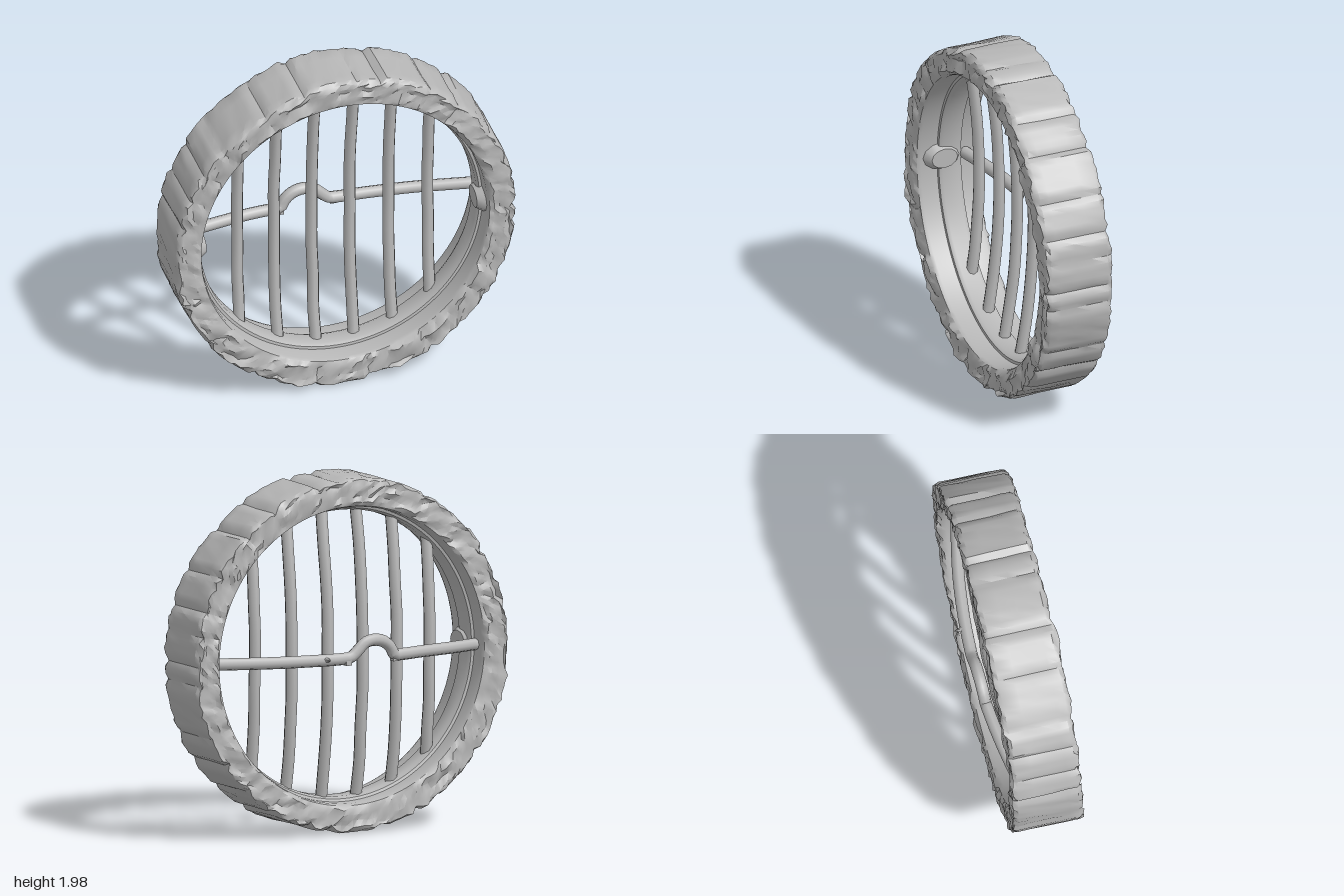
import * as THREE from 'three';
import { toCreasedNormals } from 'three/addons/utils/BufferGeometryUtils.js';

const CENTER_Y = 1;

function seeded(seed) {
  let s = seed;
  return () => {
    s = (s * 1664525 + 1013904223) % 4294967296;
    return s / 4294967296;
  };
}

// Sweeps a closed section (r, z) round the z axis; section(i) gives the points for step i.
function sweepRing(steps, section, crease) {
  const positions = [], index = [];
  let n = 0;
  for (let i = 0; i < steps; i++) {
    const a = (i / steps) * Math.PI * 2;
    const points = section(i);
    n = points.length;
    for (const [r, z] of points) positions.push(r * Math.cos(a), CENTER_Y + r * Math.sin(a), z);
  }
  for (let i = 0; i < steps; i++) {
    const k = (i + 1) % steps;
    for (let j = 0; j < n; j++) {
      const m = (j + 1) % n;
      index.push(i * n + j, k * n + j, k * n + m, i * n + j, k * n + m, i * n + m);
    }
  }
  const geo = new THREE.BufferGeometry();
  geo.setAttribute('position', new THREE.Float32BufferAttribute(positions, 3));
  geo.setIndex(index);
  return toCreasedNormals(geo, crease);
}

// Rough stone ring: weathered blocks with crumpled front and back faces
function stoneRing() {
  const rand = seeded(11);
  const steps = 176;
  const blocks = [];
  for (let i = 0; i < steps;) {
    const length = Math.min(4 + Math.floor(rand() * 7), steps - i);
    const block = { r: 0.979 + rand() * 0.012, tilt: (rand() - 0.5) * 0.016, front: 0.212 + rand() * 0.018, back: -0.158 - rand() * 0.014 };
    const ramp = (rand() - 0.5) * 0.018;
    for (let k = 0; k < length; k++) blocks.push({ ...block, r: block.r + ramp * (k / length - 0.5), edge: k === 0 });
    i += length;
  }
  const jitter = (amount) => (rand() - 0.5) * 2 * amount;
  // Lumps drift along the ring so that they span several steps
  const lumps = new Array(8).fill(0);
  const faceRadii = [0.95, 0.92, 0.885, 0.855];
  return sweepRing(steps, (i) => {
    const b = blocks[i];
    const groove = b.edge ? 0.017 : 0;
    const points = [];
    const wobble = jitter(0.002);
    for (let k = 0; k < 8; k++) lumps[k] = lumps[k] * 0.5 + jitter(0.011);
    // outer face, back to front
    for (const t of [0, 0.06, 0.3, 0.55, 0.8, 0.94, 1]) {
      const rim = t === 0 || t === 1;
      const z = b.back + (b.front - b.back) * t;
      points.push([b.r + b.tilt * (t - 0.5) - groove + wobble - (rim ? 0.012 : 0) + jitter(rim ? 0.009 : 0.003),
        z + (rim ? jitter(0.009) : 0)]);
    }
    // crumpled front face
    faceRadii.forEach((r, k) => points.push([r + jitter(0.007), b.front - groove * 0.5 + lumps[k]]));
    // smooth inner channel
    points.push([0.832, 0.205], [0.825, 0.185], [0.825, 0.06], [0.825, -0.06], [0.826, -0.13], [0.834, -0.155]);
    // crumpled back face
    faceRadii.slice().reverse().forEach((r, k) => points.push([r + jitter(0.007), b.back + groove * 0.5 + lumps[4 + k]]));
    return points;
  }, 0.7);
}

// Inner ledge the bars are set into
function innerLip() {
  return sweepRing(96, () => [[0.84, -0.06], [0.84, 0.09], [0.81, 0.085], [0.798, 0.065], [0.798, -0.025], [0.81, -0.05]], 0.7);
}

// Tube through points, with softened facets
function createBar(points, radius, sides, segments) {
  const curve = new THREE.CatmullRomCurve3(points, false, 'centripetal');
  return toCreasedNormals(new THREE.TubeGeometry(curve, segments, radius, sides), 0.9);
}

export function createModel() {
  const group = new THREE.Group();
  const stone = new THREE.MeshStandardMaterial({ color: 0xb8b8b8 });
  stone.name = 'grey';
  const add = (name, geometry) => {
    const mesh = new THREE.Mesh(geometry, stone);
    mesh.name = name;
    group.add(mesh);
    return mesh;
  };

  add('stoneRing', stoneRing());
  add('innerLip', innerLip());

  // Six upright bars, bowed backwards into a shallow dome
  const rand = seeded(5);
  for (let i = 0; i < 6; i++) {
    const x = -0.55 + i * 0.22;
    const half = Math.sqrt(0.825 ** 2 - x * x);
    const points = [];
    for (let k = 0; k <= 8; k++) {
      const y = half * (k / 4 - 1);
      points.push(new THREE.Vector3(x + (rand() - 0.5) * 0.006, CENTER_Y + y, -0.08 + 0.12 * (x * x + y * y)));
    }
    add('uprightBar' + (i + 1), createBar(points, 0.034, 8, 24));
  }

  // Cross bar behind the uprights, with a raised handle bend
  const path = [[-0.82, 0.995], [-0.65, 0.993], [-0.45, 0.992], [-0.3, 0.988], [-0.262, 0.99], [-0.235, 1.035], [-0.19, 1.07],
    [-0.13, 1.083], [-0.07, 1.07], [-0.025, 1.03], [0.02, 0.995], [0.07, 0.99], [0.25, 0.99], [0.5, 0.993], [0.82, 1]];
  add('crossBar', createBar(path.map(([x, y]) => new THREE.Vector3(x, y, -0.175 + 0.15 * x * x)), 0.034, 8, 72));

  // Mitred corners at the feet of the bend and a small spur
  for (const [x, z] of [[-0.265, -0.16], [0.045, -0.185]]) {
    const chip = add('crossBarCorner', new THREE.BoxGeometry(0.035, 0.045, 0.04));
    chip.position.set(x, 0.977, z);
  }
  const spur = add('crossBarSpur', new THREE.ConeGeometry(0.025, 0.06, 5));
  spur.rotation.x = -Math.PI / 2;
  spur.position.set(0.18, 0.995, -0.21);

  // Flared side mounts where the cross bar meets the ring
  for (const side of [1, -1]) {
    const geometry = new THREE.CylinderGeometry(0.065, 0.11, 0.07, 12, 1);
    geometry.rotateZ(side * Math.PI / 2);
    geometry.scale(1, 0.9, 1.2);
    const mount = add(side > 0 ? 'leftMount' : 'rightMount', toCreasedNormals(geometry, 0.9));
    mount.position.set(side * 0.815, 1, 0.06);
  }
  return group;
}
